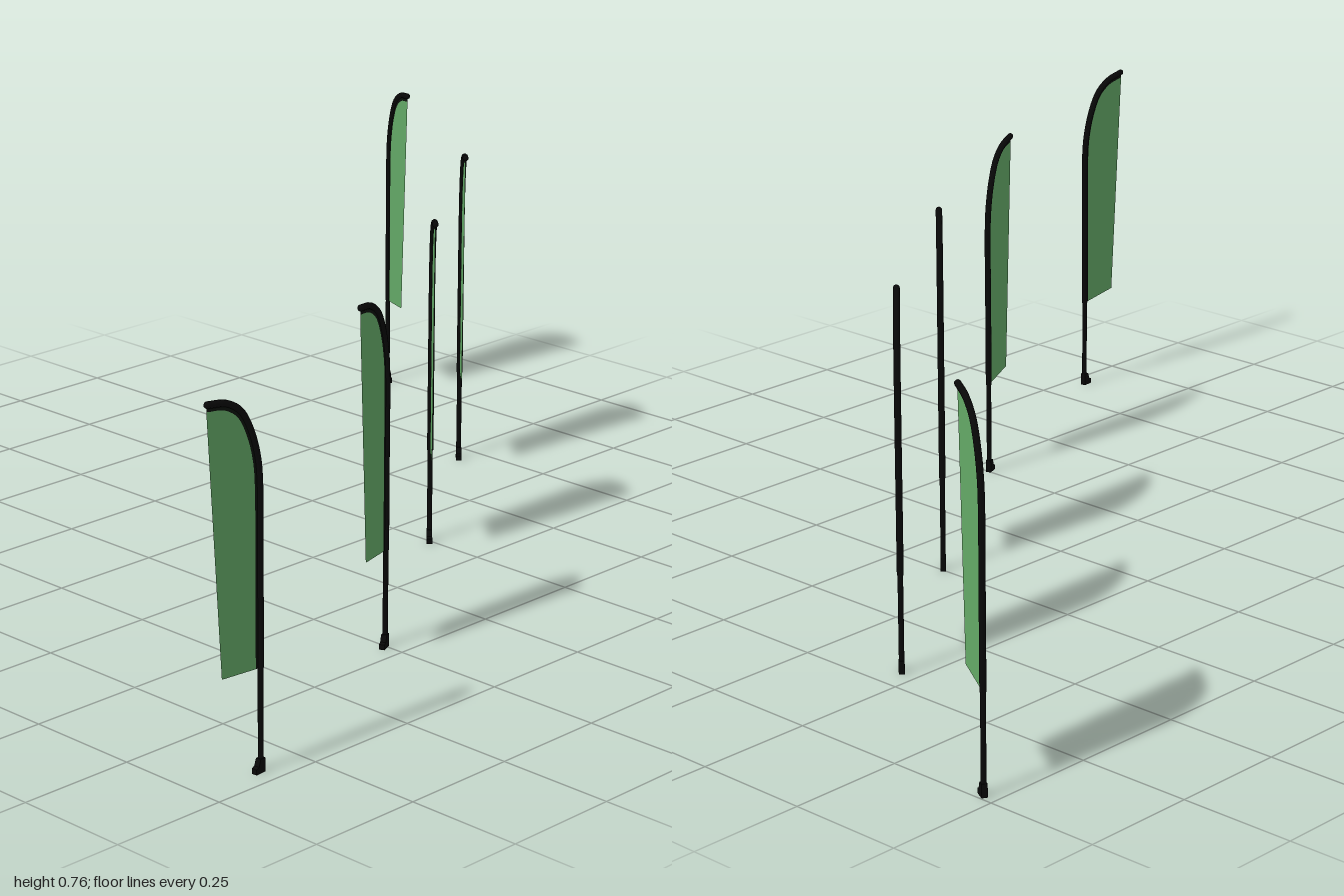
import * as THREE from 'three';

const green = new THREE.MeshStandardMaterial({ color: 0x66ad69, side: THREE.DoubleSide });
const darkCloth = new THREE.MeshStandardMaterial({ color: 0x0c120c, side: THREE.DoubleSide });
const black = new THREE.MeshStandardMaterial({ color: 0x080808 });

// Curve of the pole's upper half: x runs from the pole towards the tip
const arch = new THREE.CatmullRomCurve3([
  [0, 0.21], [0, 0.4], [0, 0.57], [0.005, 0.62], [0.022, 0.675],
  [0.05, 0.721], [0.09, 0.746], [0.141, 0.756],
].map(([x, y]) => new THREE.Vector3(x, y, 0)));

function part(name, geometry, material, x = 0, y = 0) {
  const mesh = new THREE.Mesh(geometry, material);
  mesh.name = name;
  mesh.position.set(x, y, 0);
  return mesh;
}

// Points of the arch moved inwards, at right angles to the pole
function inset(distance) {
  const points = [];
  for (let i = 0; i <= 40; i++) {
    const p = arch.getPoint(i / 40), t = arch.getTangent(i / 40);
    points.push(new THREE.Vector2(p.x + t.y * distance, p.y - t.x * distance));
  }
  return points;
}

function createFlag() {
  const flag = new THREE.Group();

  // Straight lower pole, then the thicker curved sleeve and its round tip
  flag.add(part('lowerPole', new THREE.CylinderGeometry(0.0055, 0.0055, 0.215, 12), black, 0, 0.1075));
  flag.add(part('curvedPole', new THREE.TubeGeometry(arch, 48, 0.0068, 10), black));
  flag.add(part('poleEnd', new THREE.SphereGeometry(0.0068, 10, 8), black, 0.141, 0.756));

  // Small bracket at the foot
  const foot = new THREE.Shape([[-0.006, 0], [0.019, 0], [0.019, 0.011], [0.012, 0.014], [0.007, 0.028], [-0.006, 0.028]]
    .map(([x, y]) => new THREE.Vector2(x, y)));
  const footGeometry = new THREE.ExtrudeGeometry(foot, { depth: 0.012, bevelEnabled: false });
  footGeometry.translate(0, 0, -0.006);
  flag.add(part('footBracket', footGeometry, black));

  // Dark cloth hem along the pole, and the green banner inside it
  const outer = inset(0), inner = inset(0.013);
  flag.add(part('hem', new THREE.ShapeGeometry(new THREE.Shape([...outer, ...inner.slice().reverse()])), darkCloth));
  const banner = new THREE.Shape([...inner, new THREE.Vector2(0.108, 0.22)]);
  flag.add(part('banner', new THREE.ShapeGeometry(banner), green));
  return flag;
}

// Pole position and tip direction of each flag in the row: x, z, dx, dz
const places = [
  [-0.852, 0.708, -0.145, 0.013],
  [-0.252, 0.455, -0.13, 0.053],
  [0.25, 0.109, -0.101, 0.101],
  [0.694, -0.212, -0.101, 0.101],
  [0.99, -0.722, -0.07, 0.126],
];

export function createModel() {
  const model = new THREE.Group();
  model.name = 'flagRow';
  places.forEach(([x, z, dx, dz], i) => {
    const flag = createFlag();
    flag.name = 'flag' + (i + 1);
    flag.position.set(x, 0, z);
    flag.rotation.y = Math.atan2(-dz, dx);
    model.add(flag);
  });
  return model;
}
